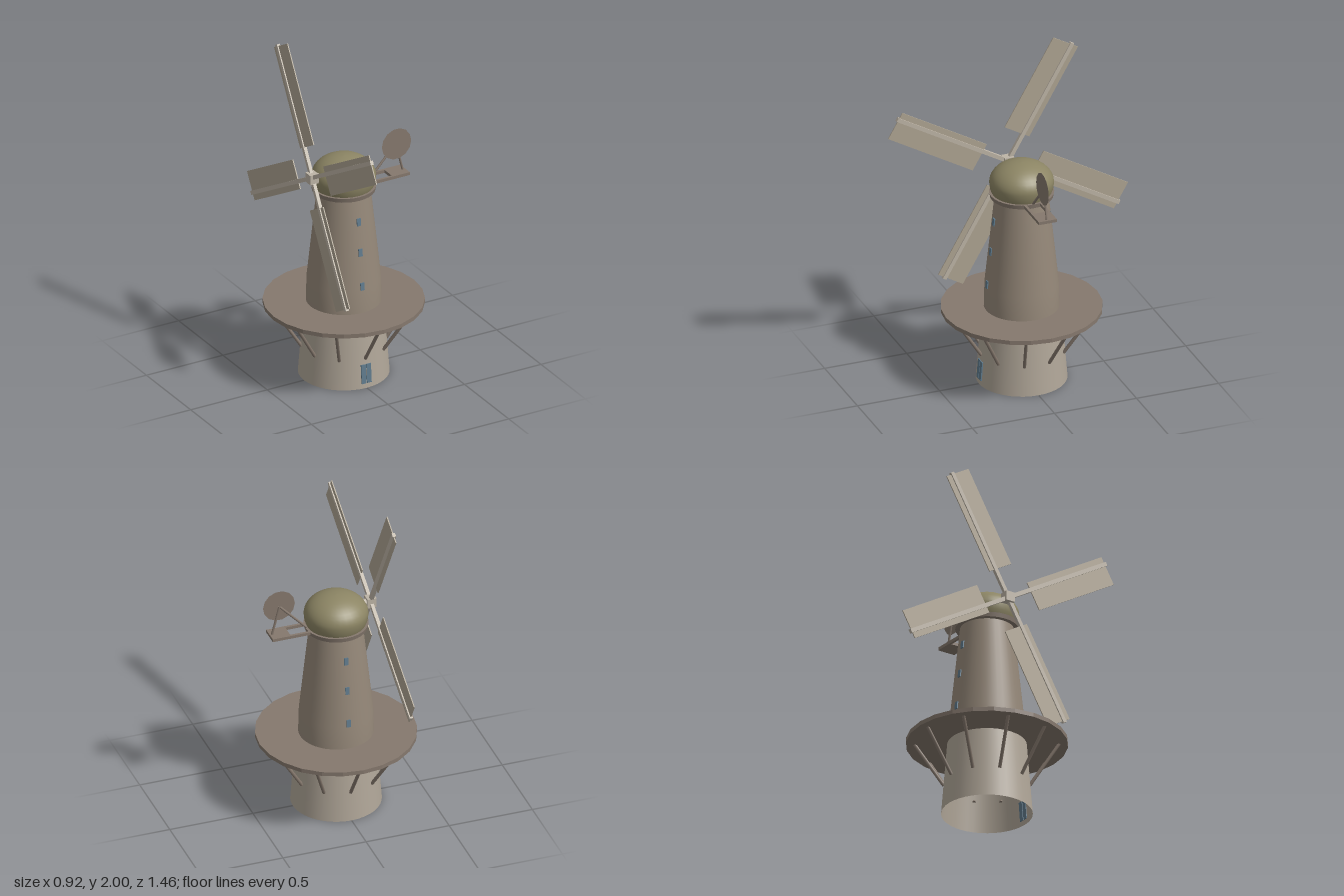
import * as THREE from 'three';

const mat = (color, extra = {}) => {
  const m = new THREE.MeshStandardMaterial({ color });
  return Object.assign(m, extra);
};
const stone = mat(0xb0a698, { side: THREE.DoubleSide });
const brick = mat(0x958879, { side: THREE.DoubleSide });
const timber = mat(0x85786d);
const timberFlat = mat(0x85786d, { flatShading: true });
const vane = mat(0x85786d, { side: THREE.DoubleSide });
const canvas = mat(0xaea492);
const pale = mat(0xbdb4a6);
const thatch = mat(0x8c8564);
const glass = mat(0x5f7a8c);

function add(parent, name, geometry, material, x = 0, y = 0, z = 0) {
  const mesh = new THREE.Mesh(geometry, material);
  mesh.name = name;
  mesh.position.set(x, y, z);
  parent.add(mesh);
  return mesh;
}

// Round bar between two points
function rod(parent, name, a, b, radius, material) {
  const from = new THREE.Vector3(...a), to = new THREE.Vector3(...b);
  const dir = to.clone().sub(from);
  const mesh = add(parent, name, new THREE.CylinderGeometry(radius, radius, dir.length(), 8), material);
  mesh.position.copy(from).add(to).multiplyScalar(0.5);
  mesh.quaternion.setFromUnitVectors(new THREE.Vector3(0, 1, 0), dir.normalize());
  return mesh;
}

const lathe = (points, sides) =>
  new THREE.LatheGeometry(points.map(([r, y]) => new THREE.Vector2(r, y)), sides);

const box = (w, h, d) => new THREE.BoxGeometry(w, h, d);

export function createModel() {
  const mill = new THREE.Group();
  mill.name = 'windmill';

  // Tower: pale base below the gallery, darker tapering body above
  add(mill, 'towerBase', lathe([[0.26, 0], [0.225, 0.44]], 40), stone);
  add(mill, 'towerBody', lathe([[0.215, 0.44], [0.211, 0.6], [0.152, 1.16]], 40), brick);

  // Gallery deck on ten slanted braces
  add(mill, 'galleryDeck', new THREE.CylinderGeometry(0.46, 0.46, 0.025, 24), timberFlat, 0, 0.443, 0);
  for (let i = 0; i < 10; i++) {
    const a = (i * Math.PI) / 5, s = Math.sin(a), c = Math.cos(a);
    rod(mill, 'galleryBrace', [0.245 * s, 0.18, 0.245 * c], [0.41 * s, 0.435, 0.41 * c], 0.01, timber);
  }

  // Windows on front and back, double door at the front
  for (const side of [1, -1]) {
    for (const [y, r] of [[1.01, 0.168], [0.825, 0.187], [0.62, 0.209]]) {
      const w = add(mill, 'window', box(0.024, 0.045, 0.012), glass, 0, y, side * r);
      w.rotation.x = -side * 0.105;
    }
    const leaf = add(mill, 'doorLeaf', box(0.029, 0.115, 0.012), glass, side * 0.017, 0.088, 0.252);
    leaf.rotation.x = -0.08;
  }

  // Rotating cap with its curb ring
  add(mill, 'capRing', new THREE.CylinderGeometry(0.185, 0.18, 0.026, 32), timber, 0, 1.163, 0);
  const dome = [[0.168, 1.17], [0.18, 1.2]];
  for (let i = 0; i <= 10; i++) {
    const a = (i / 10) * Math.PI / 2;
    dome.push([i === 10 ? 0 : 0.184 * Math.cos(a), 1.235 + 0.125 * Math.sin(a)]);
  }
  add(mill, 'cap', lathe(dome, 32), thatch);

  // Rear stage: plank at the end of two arms, carrying the round vane
  const stage = new THREE.Group();
  stage.name = 'rearStage';
  mill.add(stage);
  add(stage, 'stagePlank', box(0.11, 0.018, 0.11), timber, 0.345, 1.167, 0);
  for (const z of [-0.0475, 0.0475]) {
    add(stage, 'stageArm', box(0.15, 0.018, 0.015), timber, 0.215, 1.167, z);
  }
  rod(stage, 'vaneStrut', [0.17, 1.17, 0], [0.34, 1.35, 0], 0.007, timber);
  rod(stage, 'vaneStrut', [0.386, 1.17, 0], [0.34, 1.35, 0], 0.007, timber);
  add(stage, 'vaneDisc', new THREE.CircleGeometry(0.096, 14), vane, 0.34, 1.35, 0.009);

  // Sail cross turning in the plane x = -0.205
  const sails = new THREE.Group();
  sails.name = 'sails';
  sails.position.set(-0.207, 1.27, 0);
  mill.add(sails);
  add(sails, 'hub', box(0.055, 0.058, 0.058), pale);
  const shaft = add(sails, 'windshaft', new THREE.CylinderGeometry(0.02, 0.02, 0.12, 12), pale, 0.07, 0, 0);
  shaft.rotation.z = Math.PI / 2;
  for (let i = 0; i < 4; i++) {
    const arm = new THREE.Group();
    arm.name = 'sailArm';
    arm.rotation.x = -Math.PI / 6 + (i * Math.PI) / 2;
    add(arm, 'stock', box(0.02, 0.78, 0.024), pale, 0, 0.39, 0);
    add(arm, 'sailPanel', box(0.006, 0.593, 0.172), canvas, 0, 0.4735, 0.04);
    sails.add(arm);
  }
  return mill;
}
